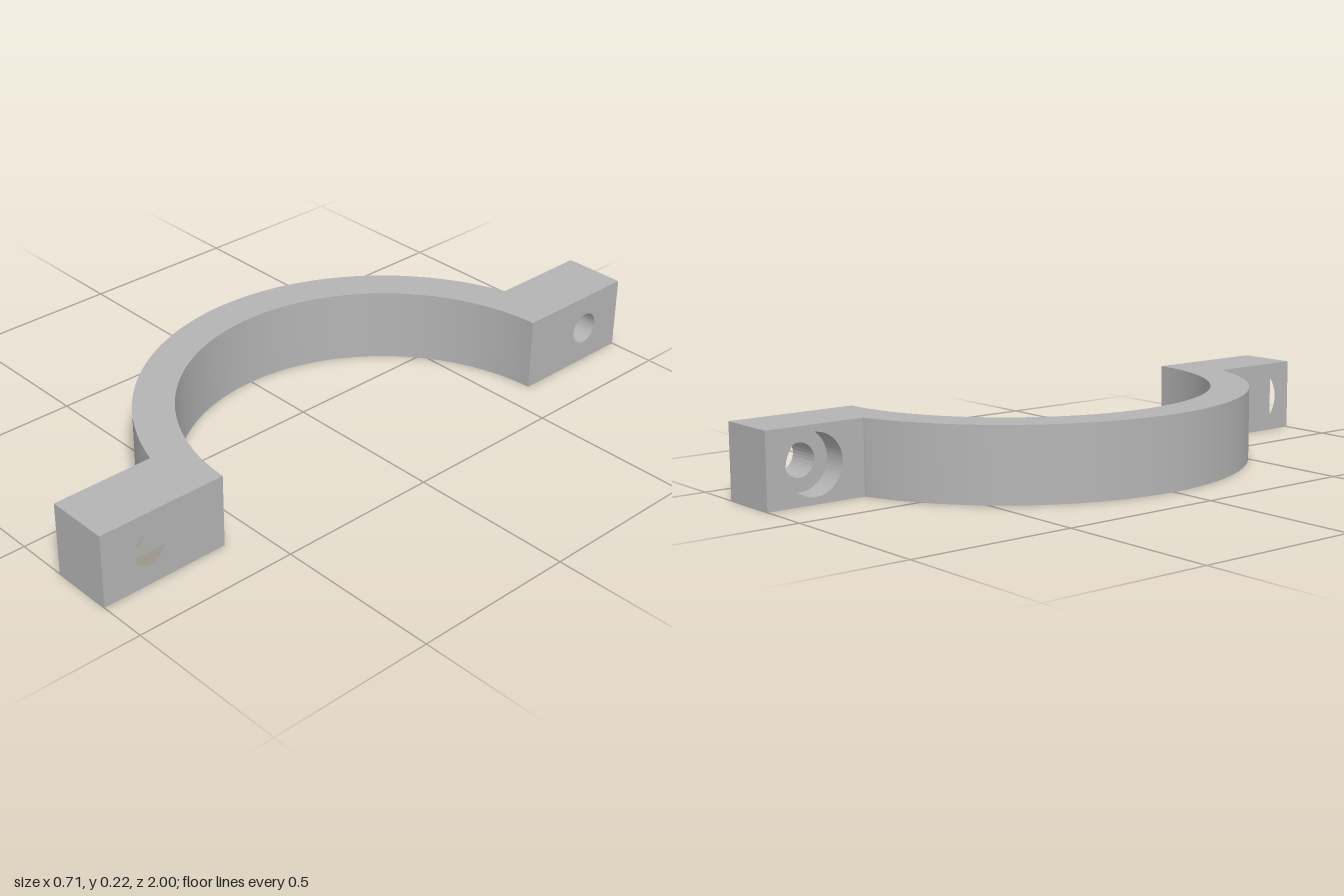
import * as THREE from 'three';
import { toCreasedNormals } from 'three/addons/utils/BufferGeometryUtils.js';

const HEIGHT = 0.222;
const X_BACK = 0.161, X_FACE = 0.353;          // lug thickness range along x
const CX = 0.368, R_IN = 0.603, R_OUT = 0.721; // band circle
const HOLE_Z = 0.85, HOLE_R = 0.049, BORE_R = 0.09, BORE_DEPTH = 0.08;

export function createModel() {
  const group = new THREE.Group();
  group.name = 'halfClamp';
  const metal = new THREE.MeshStandardMaterial({ color: 0xb4b4b4 });
  metal.name = 'grey metal';

  const extrude = (shape, depth) =>
    new THREE.ExtrudeGeometry(shape, { depth, bevelEnabled: false, curveSegments: 64 });
  const add = (name, geometry, parent) => {
    const mesh = new THREE.Mesh(toCreasedNormals(geometry, 0.5), metal);
    mesh.name = name;
    parent.add(mesh);
  };

  // Curved band, widened at its ends to meet the lugs
  const zIn = Math.sqrt(R_IN ** 2 - (X_FACE - CX) ** 2);
  const zOut = Math.sqrt(R_OUT ** 2 - (X_BACK - CX) ** 2);
  const aIn = Math.atan2(zIn, X_FACE - CX);
  const aOut = Math.atan2(zOut, X_BACK - CX);
  const outline = new THREE.Shape();
  outline.moveTo(X_FACE, -zOut);
  outline.lineTo(X_FACE, -zIn);
  outline.absarc(CX, 0, R_IN, -aIn, aIn, true);
  outline.lineTo(X_FACE, zOut);
  outline.lineTo(X_BACK, zOut);
  outline.absarc(CX, 0, R_OUT, aOut, 2 * Math.PI - aOut, false);
  add('band', extrude(outline, HEIGHT).rotateX(-Math.PI / 2), group);

  // One slice of a lug, pierced by a round hole along x
  const lugSlice = (side, x0, x1, radius) => {
    const a = side * zOut, b = side;
    const shape = new THREE.Shape([
      new THREE.Vector2(a, 0), new THREE.Vector2(b, 0),
      new THREE.Vector2(b, HEIGHT), new THREE.Vector2(a, HEIGHT),
    ]);
    const hole = new THREE.Path();
    hole.absarc(side * HOLE_Z, HEIGHT / 2, radius, 0, Math.PI * 2, true);
    shape.holes.push(hole);
    return extrude(shape, x1 - x0).rotateY(Math.PI / 2).translate(x0, 0, 0);
  };

  // Bolt lugs: counterbored at the back, narrow hole at the mating face
  for (const side of [-1, 1]) {
    const lug = new THREE.Group();
    lug.name = side < 0 ? 'frontLug' : 'backLug';
    const xStep = X_BACK + BORE_DEPTH;
    add('counterbore', lugSlice(side, X_BACK, xStep, BORE_R), lug);
    add('boltHole', lugSlice(side, xStep, X_FACE, HOLE_R), lug);
    group.add(lug);
  }
  return group;
}
